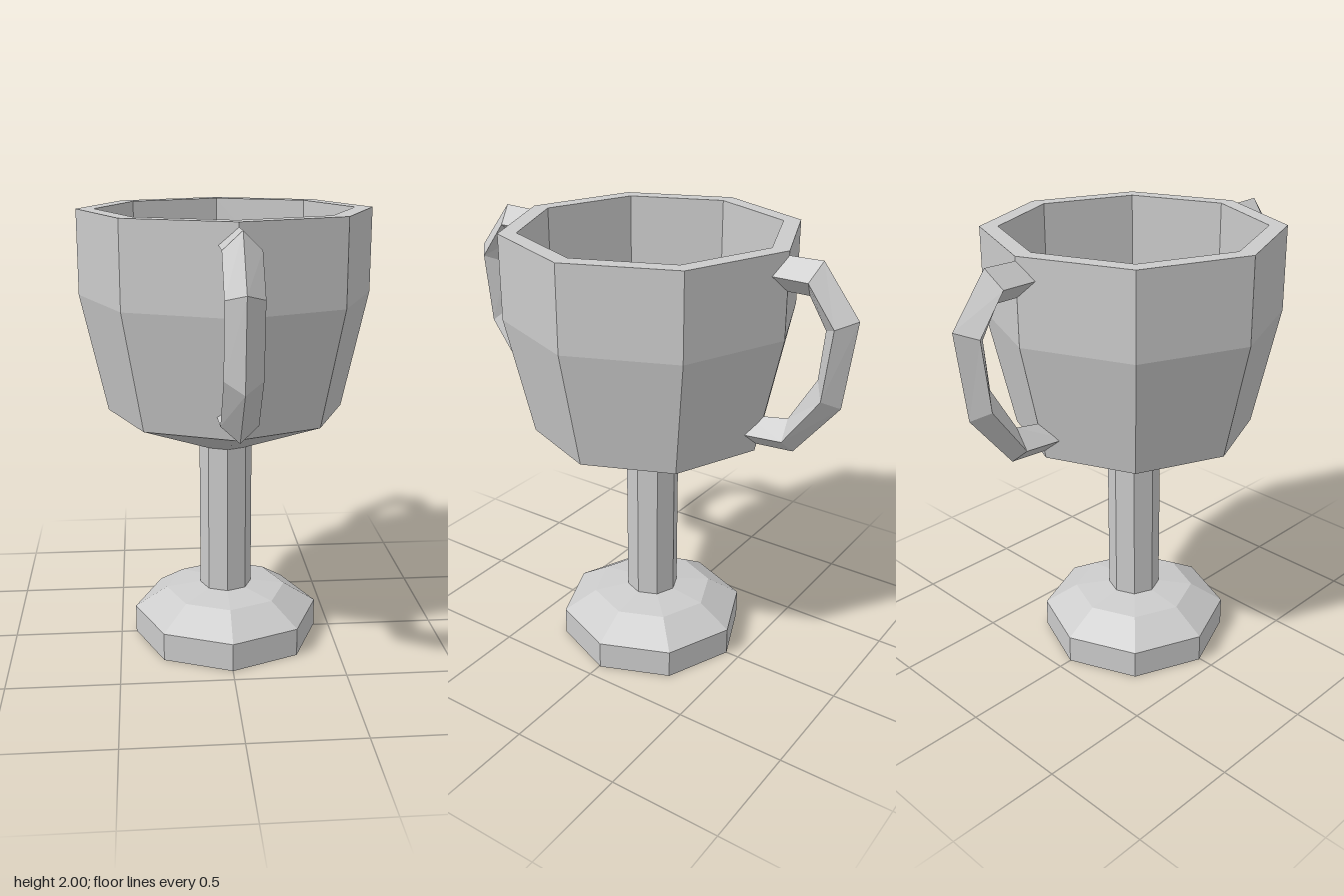
import * as THREE from 'three';

const SIDES = 8;
const material = new THREE.MeshStandardMaterial({ color: 0xcccccc, flatShading: true });

// Faceted turned part from [radius, height] pairs, listed bottom to top on the outside
function turned(name, profile) {
  const points = profile.map(([r, y]) => new THREE.Vector2(r, y));
  const mesh = new THREE.Mesh(new THREE.LatheGeometry(points, SIDES), material);
  mesh.name = name;
  mesh.position.z = -0.006;
  return mesh;
}

// Diamond-section bar through stations of [outer z, y, middle z, y, inner z, y]
function diamondBar(stations, halfWidth) {
  const positions = [];
  const index = [];
  for (const [oz, oy, mz, my, iz, iy] of stations) {
    positions.push(0, oy, oz, halfWidth, my, mz, 0, iy, iz, -halfWidth, my, mz);
  }
  for (let s = 0; s < stations.length - 1; s++) {
    for (let k = 0; k < 4; k++) {
      const a = s * 4 + k;
      const b = s * 4 + (k + 1) % 4;
      index.push(a, a + 4, b, b, a + 4, b + 4);
    }
  }
  // End caps
  const e = (stations.length - 1) * 4;
  index.push(0, 1, 2, 0, 2, 3, e, e + 2, e + 1, e, e + 3, e + 2);
  const geometry = new THREE.BufferGeometry();
  geometry.setAttribute('position', new THREE.Float32BufferAttribute(positions, 3));
  geometry.setIndex(index);
  geometry.computeVertexNormals();
  return geometry;
}

export function createModel() {
  const group = new THREE.Group();
  group.name = 'trophyCup';

  group.add(turned('base', [[0, 0], [0.43, 0], [0.43, 0.13], [0.28, 0.225], [0.12, 0.248], [0, 0.248]]));
  group.add(turned('stem', [[0.12, 0.24], [0.12, 0.94]]));

  // Bowl: outside, rim, then the shallow inside down to its floor
  group.add(turned('bowl', [
    [0, 0.94], [0.12, 0.94], [0.53, 1.107], [0.645, 1.63], [0.645, 2],
    [0.567, 2], [0.567, 1.545], [0, 1.545],
  ]));

  // Handles at front and back, ends buried in the bowl wall
  const handle = diamondBar([
    [0.59, 1.98, 0.59, 1.91, 0.59, 1.836],
    [0.8, 1.985, 0.775, 1.91, 0.749, 1.836],
    [0.966, 1.773, 0.897, 1.746, 0.828, 1.709],
    [0.918, 1.397, 0.862, 1.44, 0.808, 1.497],
    [0.717, 1.153, 0.7, 1.22, 0.686, 1.296],
    [0.49, 1.137, 0.49, 1.203, 0.49, 1.262],
  ], 0.076);
  ['frontHandle', 'backHandle'].forEach((name, i) => {
    const mesh = new THREE.Mesh(handle, material);
    mesh.name = name;
    mesh.rotation.y = i * Math.PI;
    group.add(mesh);
  });

  return group;
}
